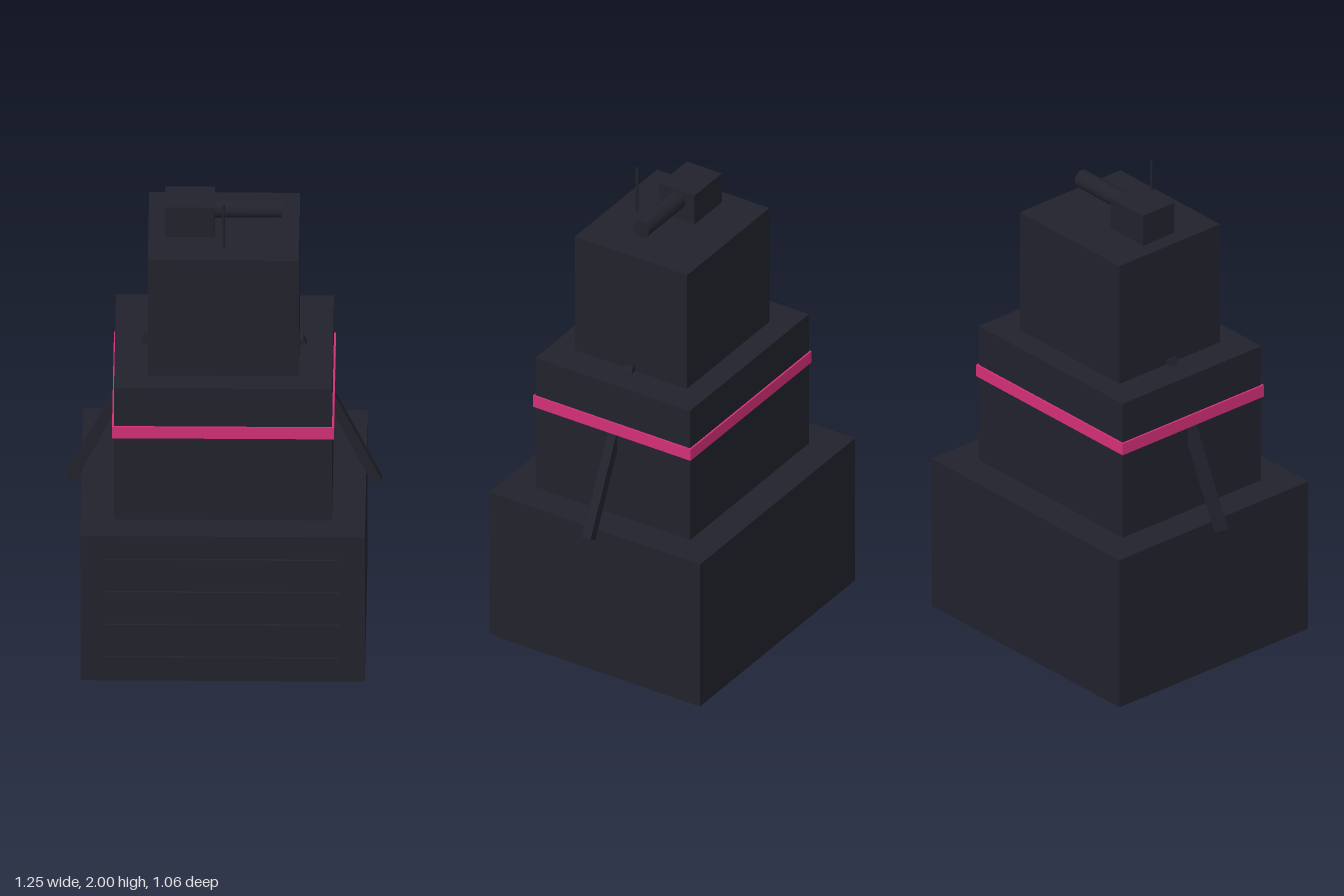
import * as THREE from 'three';

const CZ = -0.032; // depth centre of the tower

export function createModel() {
  const model = new THREE.Group();
  model.name = 'tieredTower';

  const dark = new THREE.MeshStandardMaterial({ color: 0x22222d });
  dark.name = 'dark slate';
  const pink = new THREE.MeshStandardMaterial({ color: 0xd42f77 });
  pink.name = 'pink';

  function add(name, geometry, material, x, y, z) {
    const mesh = new THREE.Mesh(geometry, material);
    mesh.name = name;
    mesh.position.set(x, y, z);
    model.add(mesh);
    return mesh;
  }
  // Box given by its width, depth, bottom and top
  const block = (name, w, d, y0, y1, x = 0, z = CZ, material = dark) =>
    add(name, new THREE.BoxGeometry(w, y1 - y0, d), material, x, (y0 + y1) / 2, z);

  // Three stacked tiers and the band around the middle one
  block('baseTier', 1.13, 0.997, 0, 0.665);
  block('middleTier', 0.866, 0.732, 0.665, 1.27);
  block('upperTier', 0.6, 0.531, 1.27, 1.802);
  block('band', 0.882, 0.747, 1.043, 1.095, 0, CZ, pink);

  // Four ledges with thin upright lips on the front of the base
  for (let i = 0; i < 4; i++) {
    const y = 0.089 + i * 0.15;
    block('ledge' + (i + 1), 0.93, 0.07, y, y + 0.024, 0, 0.497);
    block('ledgeLip' + (i + 1), 0.93, 0.004, y, y + 0.056, 0, 0.531);
  }

  // Slanted side struts, passing through the middle tier
  for (const side of [1, -1]) {
    const low = new THREE.Vector2(0.609, 0.64);
    const high = new THREE.Vector2(0.297, 1.29);
    const strut = add(side > 0 ? 'leftStrut' : 'rightStrut',
      new THREE.BoxGeometry(0.04, low.distanceTo(high), 0.04), dark,
      side * (low.x + high.x) / 2, (low.y + high.y) / 2, CZ);
    strut.rotation.z = side * Math.atan2(low.x - high.x, high.y - low.y);
  }

  // Roof housing with a sideways barrel, and the aerial
  block('roofHousing', 0.198, 0.166, 1.802, 1.937, -0.135);
  const barrel = add('barrel', new THREE.CylinderGeometry(0.038, 0.038, 0.28, 24), dark, 0.09, 1.888, CZ);
  barrel.rotation.z = Math.PI / 2;
  add('aerial', new THREE.CylinderGeometry(0.006, 0.006, 0.2, 10), dark, 0, 1.9, 0.134);

  return model;
}
